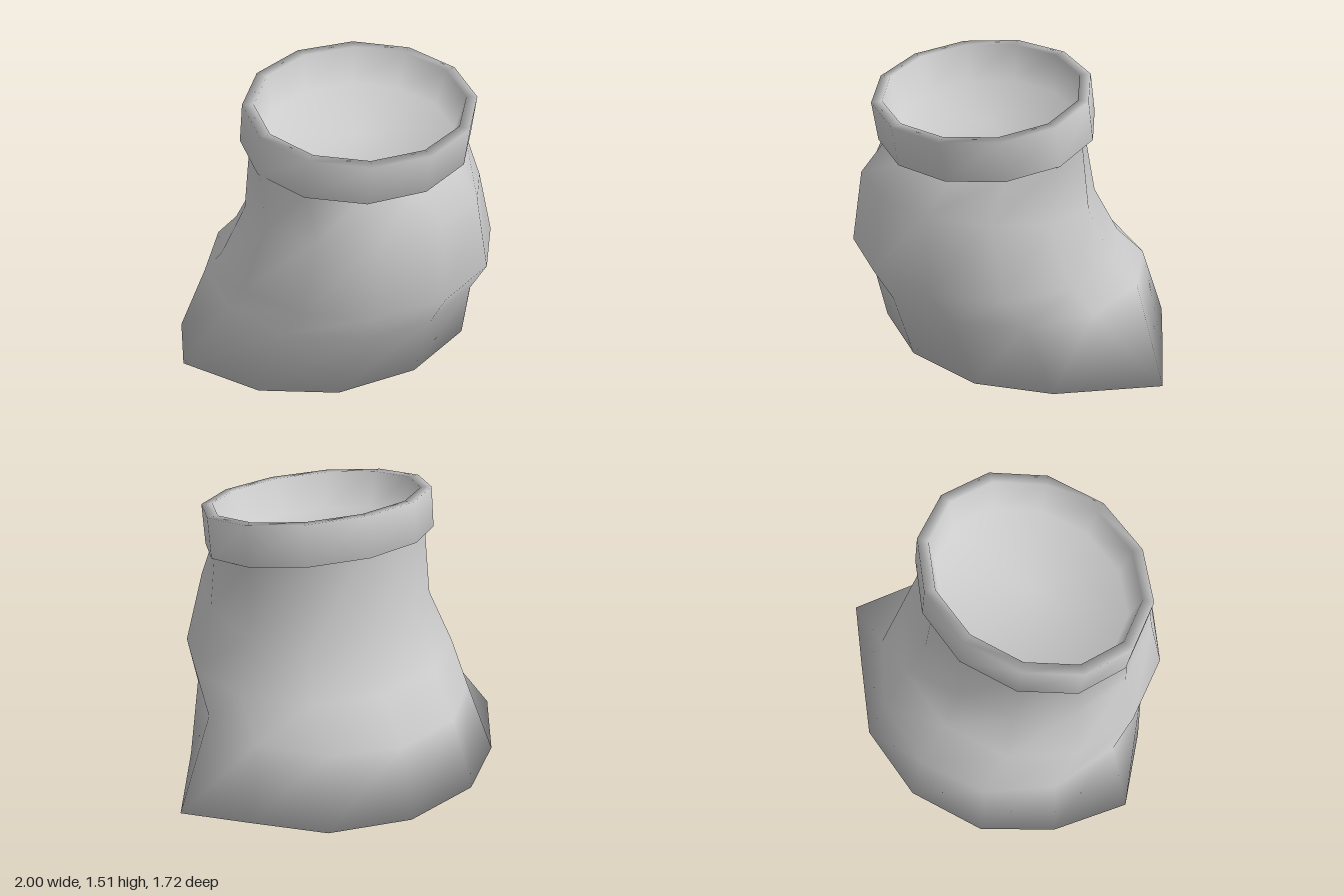
import * as THREE from 'three';

const SIDES = 12;
const CENTRE_X = -0.03;
const material = new THREE.MeshStandardMaterial({ color: 0xcccccc, side: THREE.DoubleSide });

// One elliptical ring; slope drops the front and lifts the back,
// left/right replace the two side points.
function ring({ y, z, rx, rz, slope = 0, left, right }) {
  const points = [];
  for (let i = 0; i < SIDES; i++) {
    const a = (i / SIDES) * Math.PI * 2;
    const dz = rz * Math.cos(a);
    points.push([CENTRE_X + rx * Math.sin(a), y - slope * dz, z + dz]);
  }
  if (left) points[SIDES / 4] = left;
  if (right) points[(SIDES * 3) / 4] = right;
  return points;
}

// Skin a list of rings in order with smooth normals; a zero radius closes an end
function loft(name, rings) {
  const index = [];
  for (let r = 0; r < rings.length - 1; r++) {
    for (let i = 0; i < SIDES; i++) {
      const j = (i + 1) % SIDES;
      const a = r * SIDES + i, b = r * SIDES + j;
      const c = b + SIDES, d = a + SIDES;
      if (rings[r].rx > 0) index.push(a, b, c);
      if (rings[r + 1].rx > 0) index.push(a, c, d);
    }
  }
  const geometry = new THREE.BufferGeometry();
  geometry.setAttribute('position', new THREE.Float32BufferAttribute(rings.flatMap(ring).flat(), 3));
  geometry.setIndex(index);
  geometry.computeVertexNormals();
  const mesh = new THREE.Mesh(geometry, material);
  mesh.name = name;
  return mesh;
}

export function createModel() {
  const group = new THREE.Group();
  group.name = 'sack';
  const slope = 0.153;

  group.add(loft('sackBody', [
    // Flat underside with pulled-out corners
    { y: 0, z: -0.11, rx: 0, rz: 0 },
    {
      y: 0, z: -0.11, rx: 0.87, rz: 0.75,
      left: [1, 0, -0.24], right: [-1, 0.05, -0.12],
    },
    // Sagging belly and shoulder
    { y: 0.38, z: 0, rx: 0.745, rz: 0.75 },
    { y: 0.58, z: 0.155, rx: 0.745, rz: 0.705 },
    { y: 0.91, z: 0.195, rx: 0.625, rz: 0.615, slope: -0.15 },
    // Neck
    {
      y: 1.213, z: 0.16, rx: 0.6, rz: 0.47, slope,
      left: [0.58, 1.2, 0.16], right: [-0.655, 1.21, 0.16],
    },
    // Tilted collar and lip
    { y: 1.215, z: 0.147, rx: 0.63, rz: 0.54, slope },
    { y: 1.43, z: 0.18, rx: 0.63, rz: 0.54, slope },
    { y: 1.43, z: 0.18, rx: 0.57, rz: 0.485, slope },
    // Recessed floor of the mouth
    { y: 1.23, z: 0.155, rx: 0.53, rz: 0.45, slope },
    { y: 1.23, z: 0.155, rx: 0, rz: 0, slope },
  ]));

  return group;
}
